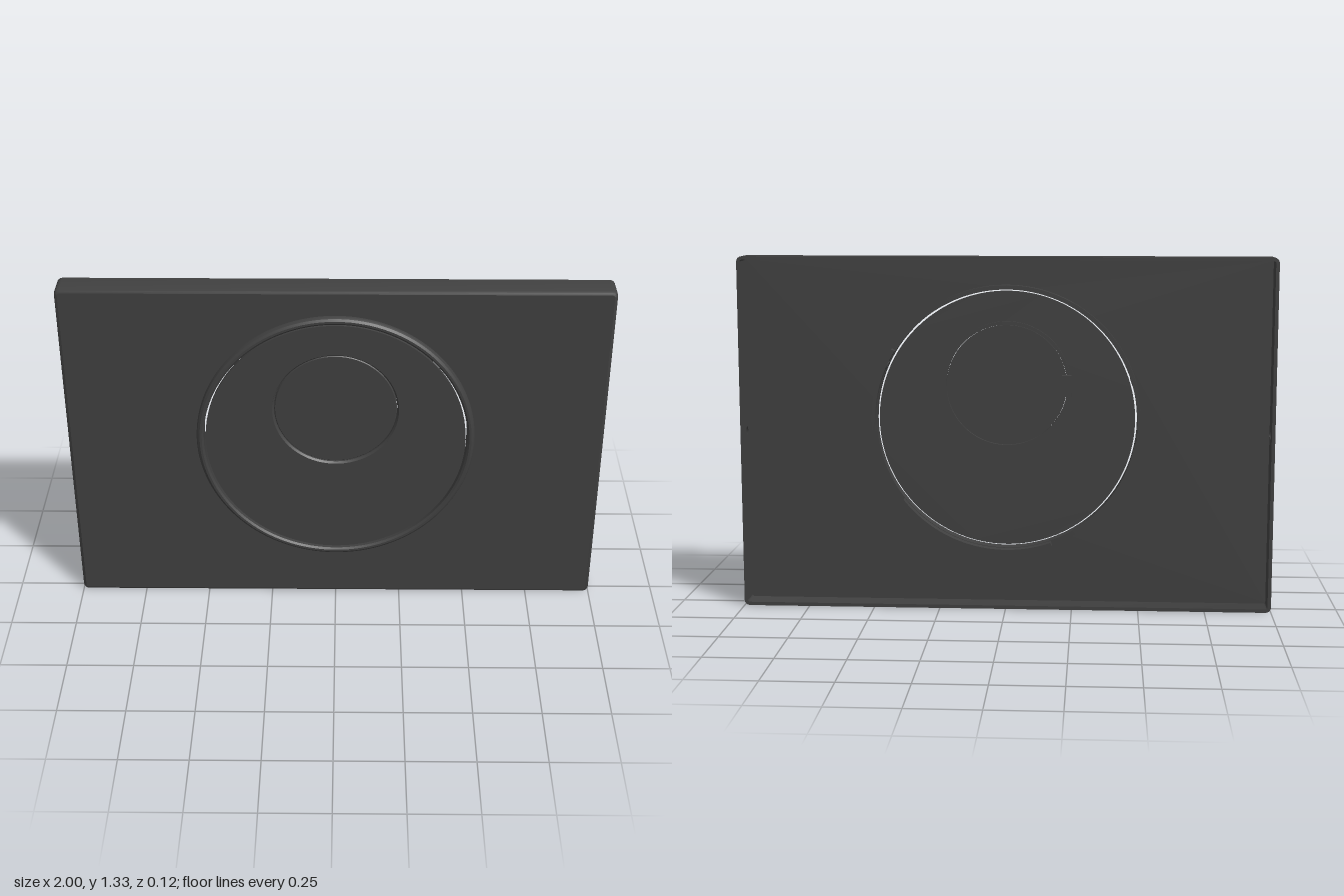
import * as THREE from 'three';
import { toCreasedNormals } from 'three/addons/utils/BufferGeometryUtils.js';

const H = 1.33, BACK = -0.062, FRONT = 0.037, WALL = 0.013, CORNER = 0.02;
const RING_Y = 0.715, BUTTON_Y = 0.845, HOLE_Y = 0.667, HOLE_R = 0.025;
const STEPS = 5; // points per rounded corner

export function createModel() {
  const model = new THREE.Group();
  const charcoal = new THREE.MeshStandardMaterial({ color: 0x404040, side: THREE.DoubleSide });
  charcoal.name = 'charcoal';

  function add(name, geometry, x = 0, y = 0, z = 0) {
    const mesh = new THREE.Mesh(geometry, charcoal);
    mesh.name = name;
    mesh.position.set(x, y, z);
    model.add(mesh);
    return mesh;
  }

  // Rounded rectangle outline, anticlockwise from the front
  function outline(inset) {
    const r = Math.max(CORNER - inset, 0.003), points = [];
    const hx = 1 - inset - r, hy = H / 2 - inset - r;
    [[1, 1], [-1, 1], [-1, -1], [1, -1]].forEach(([sx, sy], c) => {
      for (let i = 0; i < STEPS; i++) {
        const a = (c + i / (STEPS - 1)) * Math.PI / 2;
        points.push(new THREE.Vector2(sx * hx + r * Math.cos(a), H / 2 + sy * hy + r * Math.sin(a)));
      }
    });
    return points;
  }

  function circlePath(x, y, r) {
    return new THREE.Path().absarc(x, y, r, 0, Math.PI * 2, true);
  }

  // Turned part whose axis points to the front; profile is [radius, z]
  function turned(profile, segments = 96) {
    const g = new THREE.LatheGeometry(profile.map(p => new THREE.Vector2(...p)), segments);
    return toCreasedNormals(g.rotateX(Math.PI / 2), 0.5);
  }

  // Curved wall segment, angles in degrees
  function arcWall(inner, outer, from, to, depth) {
    const a = THREE.MathUtils.degToRad(from), b = THREE.MathUtils.degToRad(to);
    const s = new THREE.Shape();
    s.absarc(0, 0, outer, a, b, false);
    s.absarc(0, 0, inner, b, a, true);
    s.closePath();
    return toCreasedNormals(
      new THREE.ExtrudeGeometry(s, { depth, bevelEnabled: false, curveSegments: 24 }), 0.5);
  }

  // Shell walls lofted from inside, round the back rim, to the bevelled front edge
  const profile = [[WALL, 0.024], [WALL, BACK], [0, BACK], [0, 0.024],
    [0.004, 0.033], [0.012, FRONT]];
  const loops = profile.map(([inset, z]) => outline(inset).map(p => [p.x, p.y, z]));
  const n = STEPS * 4, pos = [];
  for (let k = 0; k < loops.length - 1; k++) {
    for (let j = 0; j < n; j++) {
      const sideFlat = j === STEPS * 2 - 1 || j === n - 1;
      if (sideFlat && (k === 0 || k === 2)) continue; // replaced by drilled faces
      const m = (j + 1) % n;
      const a = loops[k][j], b = loops[k][m], c = loops[k + 1][m], d = loops[k + 1][j];
      pos.push(...a, ...b, ...c, ...a, ...c, ...d);
    }
  }
  const shell = new THREE.BufferGeometry();
  shell.setAttribute('position', new THREE.Float32BufferAttribute(pos, 3));
  add('shellWalls', toCreasedNormals(shell, 0.6));

  // Front panel, outer and inner face, open behind the dial
  for (const [name, inset, z, turn] of [['panelFront', 0.012, FRONT, 0], ['panelBack', WALL, 0.024, Math.PI]]) {
    const s = new THREE.Shape(outline(inset));
    s.holes.push(circlePath(0, RING_Y, 0.505));
    add(name, new THREE.ShapeGeometry(s, 64).rotateY(turn), 0, 0, z);
  }

  // Drilled side faces with a countersunk hole
  function sideFace(x, facing, radius) {
    const u = z => -facing * z;
    const s = new THREE.Shape([[BACK, CORNER], [0.024, CORNER], [0.024, H - CORNER], [BACK, H - CORNER]]
      .map(([z, y]) => new THREE.Vector2(u(z), y)));
    s.holes.push(circlePath(0, HOLE_Y, radius));
    add('sideFace', new THREE.ShapeGeometry(s, 20).rotateY(facing * Math.PI / 2), x, 0, 0);
  }
  for (const side of [1, -1]) {
    sideFace(side, side, HOLE_R);
    sideFace(side * (1 - WALL), -side, 0.016);
    const sink = new THREE.CylinderGeometry(HOLE_R, 0.016, WALL, 32, 1, true);
    add('screwHole', sink.rotateZ(-side * Math.PI / 2), side * (1 - WALL / 2), HOLE_Y, 0);
  }

  // Raised bezel ring
  add('bezelRing', turned([[0.491, 0.005], [0.508, 0.005], [0.508, 0.03], [0.518, 0.03],
    [0.518, 0.045], [0.514, 0.054], [0.506, 0.06], [0.498, 0.06], [0.491, 0.054], [0.491, 0.005]], 128),
  0, RING_Y, 0);

  // Taller rim sections behind the bezel
  for (const [from, to] of [[-5, 32], [-110, -38], [152, 190], [60, 120]]) {
    const depth = from === 60 ? 0.015 : 0.035;
    add('rimTab', arcWall(0.493, 0.508, from, to, depth), 0, RING_Y, 0.005 - depth);
  }

  // Small eyelets in the side tabs
  for (const deg of [25, 162]) {
    const a = THREE.MathUtils.degToRad(deg);
    const eyelet = add('eyelet', new THREE.TorusGeometry(0.014, 0.003, 8, 24).rotateY(Math.PI / 2),
      0.493 * Math.cos(a), RING_Y + 0.493 * Math.sin(a), -0.01);
    eyelet.rotation.z = a;
  }

  // Dial plate with an offset round opening
  const dial = new THREE.Shape().absarc(0, RING_Y, 0.484, 0, Math.PI * 2, false);
  dial.holes.push(circlePath(0, BUTTON_Y, 0.234));
  add('dialPlate', toCreasedNormals(
    new THREE.ExtrudeGeometry(dial, { depth: 0.015, bevelEnabled: false, curveSegments: 96 }), 0.5), 0, 0, 0.035);

  // Chamfered lip round the opening
  add('openingLip', turned([[0.228, 0.022], [0.241, 0.022], [0.241, 0.036], [0.234, 0.05],
    [0.228, 0.043], [0.228, 0.022]]), 0, BUTTON_Y, 0);

  // Recessed button and its back catch
  add('button', turned([[0, 0.026], [0.2265, 0.026], [0.2265, 0.038], [0.223, 0.042], [0, 0.042]]),
    0, BUTTON_Y, 0);
  add('buttonCatch', new THREE.BoxGeometry(0.035, 0.08, 0.03), -0.226, BUTTON_Y, 0.014);

  return model;
}
